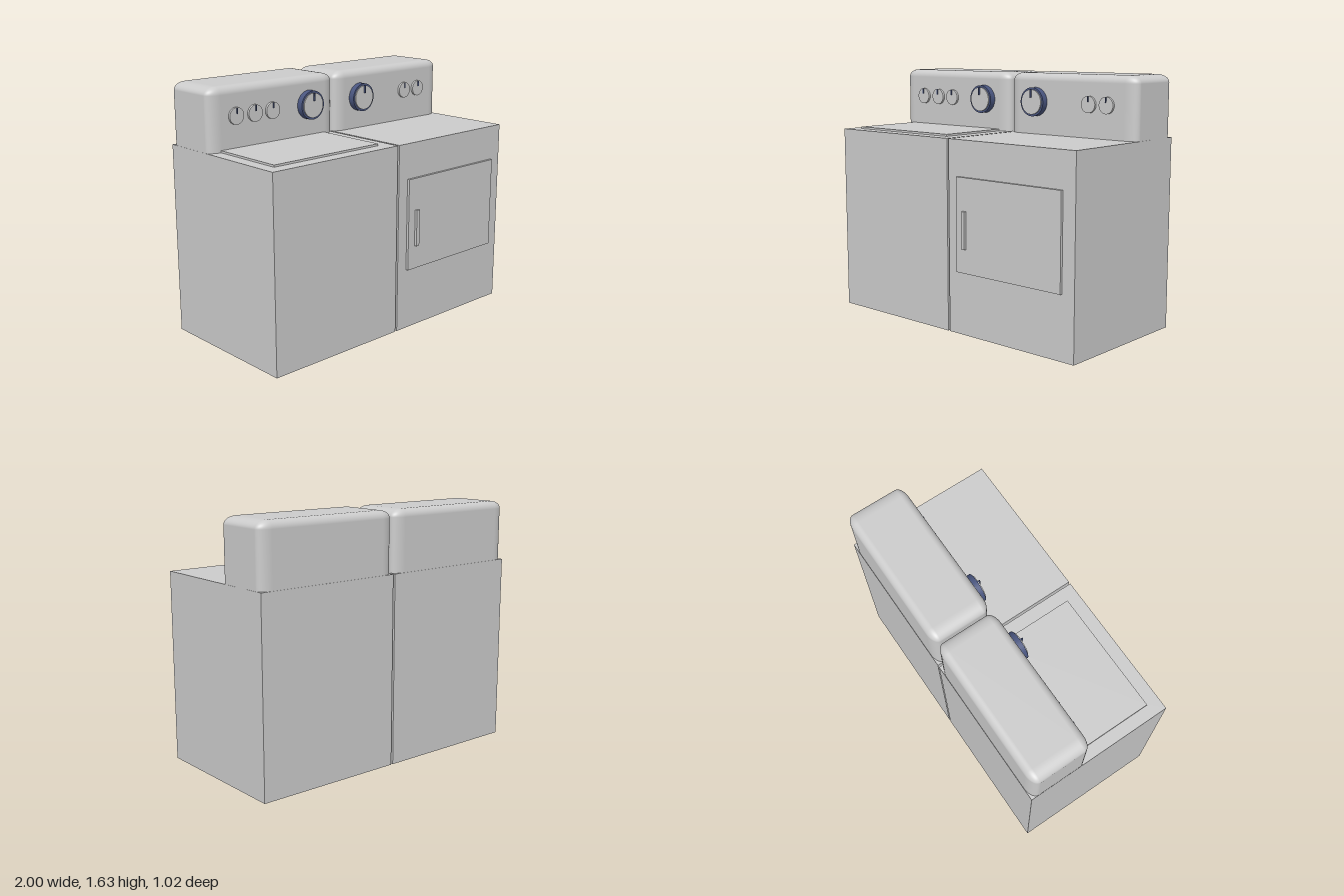
import * as THREE from 'three';
import { RoundedBoxGeometry } from 'three/addons/geometries/RoundedBoxGeometry.js';

const grey = new THREE.MeshStandardMaterial({ color: 0xcccccc });
const blue = new THREE.MeshStandardMaterial({ color: 0x4a5680 });
const CONSOLE_FRONT = -0.11, KNOB_Y = 1.45;

function add(parent, name, geometry, material = grey) {
  const mesh = new THREE.Mesh(geometry, material);
  mesh.name = name;
  parent.add(mesh);
  return mesh;
}

// Box given by its lower and upper corners
function box(parent, name, [x0, y0, z0], [x1, y1, z1], material) {
  const mesh = add(parent, name, new THREE.BoxGeometry(x1 - x0, y1 - y0, z1 - z0), material);
  mesh.position.set((x0 + x1) / 2, (y0 + y1) / 2, (z0 + z1) / 2);
  return mesh;
}

// Disc facing +z between two depths
function disc(parent, name, radius, z0, z1, material) {
  const geometry = new THREE.CylinderGeometry(radius, radius, z1 - z0, 48).rotateX(Math.PI / 2);
  const mesh = add(parent, name, geometry, material);
  mesh.position.z = (z0 + z1) / 2;
  return mesh;
}

function smallKnob(parent, x) {
  const knob = new THREE.Group();
  knob.name = 'smallKnob';
  disc(knob, 'smallKnobDisc', 0.053, -0.01, 0.015);
  box(knob, 'smallKnobPointer', [-0.003, 0.015, 0.01], [0.003, 0.05, 0.022], blue);
  knob.position.set(x, KNOB_Y, CONSOLE_FRONT);
  parent.add(knob);
}

function dial(parent, x) {
  const knob = new THREE.Group();
  knob.name = 'dial';
  disc(knob, 'dialRim', 0.093, -0.01, 0.043, blue);
  disc(knob, 'dialFace', 0.08, 0.03, 0.051);
  box(knob, 'dialPointer', [-0.003, 0.03, 0.045], [0.003, 0.08, 0.064], blue);
  knob.position.set(x, KNOB_Y, CONSOLE_FRONT);
  parent.add(knob);
}

// Cabinet with a rounded control console along the back
function appliance(name, side) {
  const unit = new THREE.Group();
  unit.name = name;
  const cx = side * 0.5035;
  box(unit, 'cabinet', [cx - 0.4965, 0, -0.512], [cx + 0.4965, 1.24, 0.478]);
  const stretch = 1.7;
  const geometry = new RoundedBoxGeometry(0.991 / stretch, 0.465, 0.4, 6, 0.05).scale(stretch, 1, 1);
  const top = add(unit, 'controlConsole', geometry);
  top.position.set(cx, 1.4025, CONSOLE_FRONT - 0.2);
  dial(unit, side * 0.225);
  return unit;
}

export function createModel() {
  const model = new THREE.Group();
  model.name = 'laundryPair';

  // Top-loading washer
  const washer = appliance('washer', -1);
  box(washer, 'lid', [-0.92, 1.235, -0.13], [-0.095, 1.253, 0.392]);
  for (const x of [-0.805, -0.662, -0.525]) smallKnob(washer, x);

  // Front-loading dryer
  const dryer = appliance('dryer', 1);
  box(dryer, 'door', [0.085, 0.405, 0.47], [0.91, 1.01, 0.495]);
  box(dryer, 'doorHandle', [0.143, 0.56, 0.49], [0.17, 0.8, 0.512]);
  for (const x of [0.652, 0.787]) smallKnob(dryer, x);

  model.add(washer, dryer);
  return model;
}
